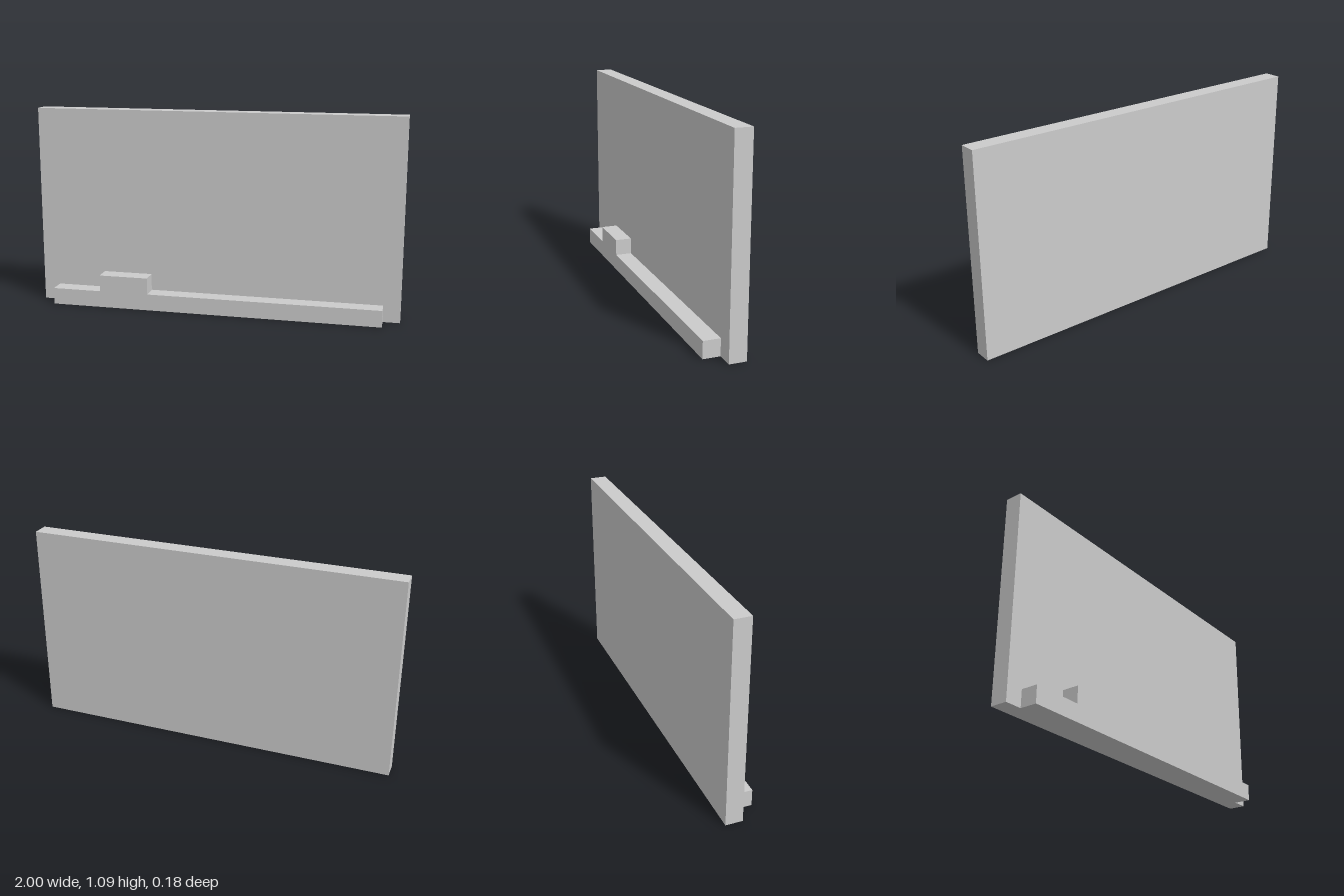
import * as THREE from 'three';

const U = 1 / 11; // module size: every dimension is a multiple of it

export function createModel() {
  const group = new THREE.Group();
  const material = new THREE.MeshStandardMaterial({ color: 0xcccccc, flatShading: true });

  // Upright back panel
  const panel = new THREE.Mesh(new THREE.BoxGeometry(22 * U, 12 * U, U), material);
  panel.name = 'backPanel';
  panel.position.set(0, 6 * U, -U / 2);
  group.add(panel);

  // Front ledge with a raised block, extruded from its stepped outline
  const outline = [[-10, 0], [10, 0], [10, 1], [-4, 1], [-4, 2], [-7, 2], [-7, 1], [-10, 1]];
  const shape = new THREE.Shape(outline.map(([x, y]) => new THREE.Vector2(x * U, y * U)));
  const ledge = new THREE.Mesh(
    new THREE.ExtrudeGeometry(shape, { depth: U, bevelEnabled: false }), material);
  ledge.name = 'frontLedge';
  group.add(ledge);

  return group;
}
